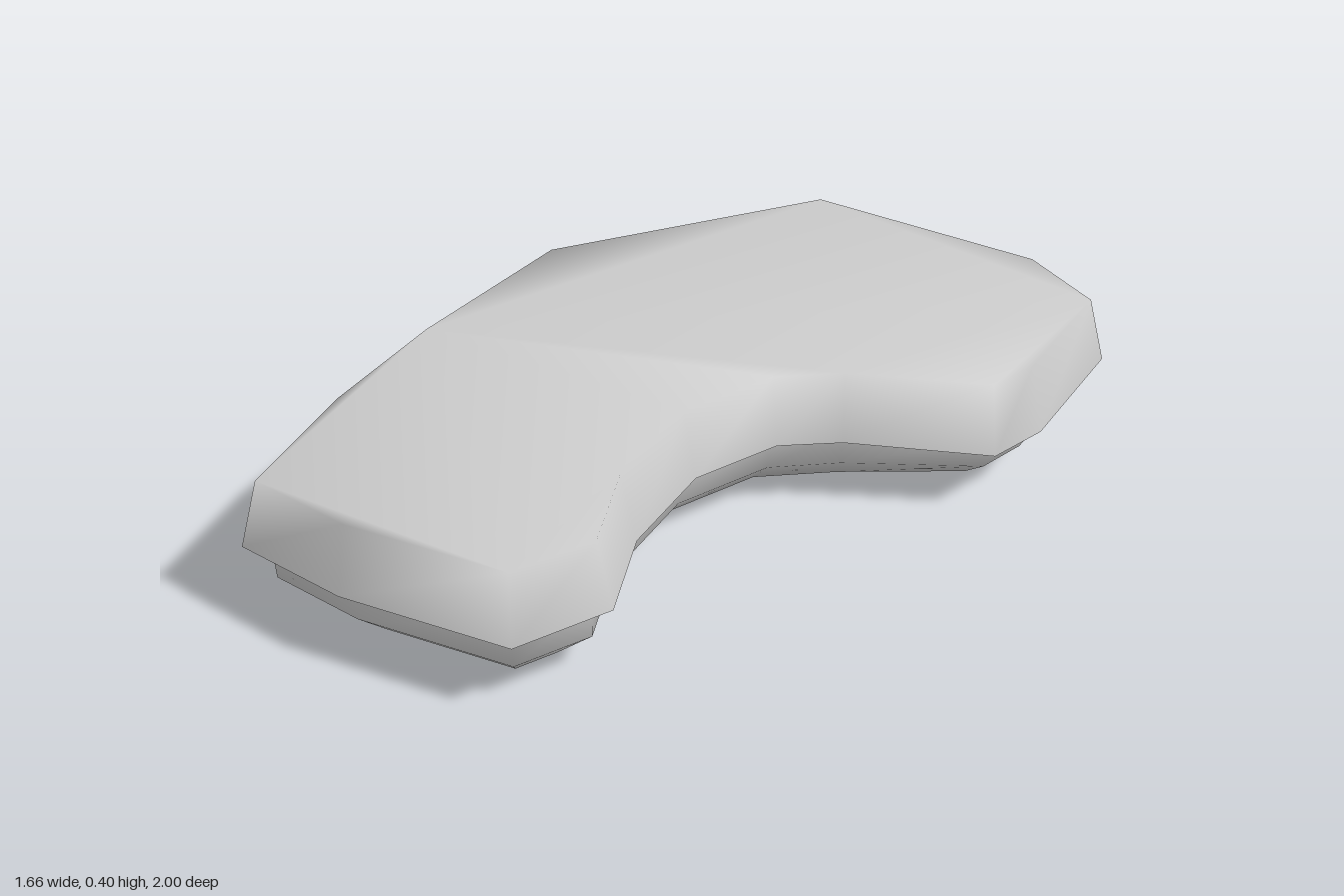
import * as THREE from 'three';

// Widest outline in plan, [x, z], clockwise seen from above
const outline = [
  [-0.09, -1], [0.59, -0.96], [0.83, -0.82], [0.79, -0.41], [0.72, -0.25], [0.35, -0.11],
  [0.2, -0.02], [0.07, 0.2], [0.05, 0.5], [0.12, 0.77], [-0.03, 1], [-0.5, 1],
  [-0.82, 0.93], [-0.83, 0.51], [-0.79, 0.12], [-0.68, -0.4],
].map(([x, z]) => new THREE.Vector2(x, z));

// Outline moved inwards by a distance, with mitred corners
function inset(distance) {
  const n = outline.length;
  return outline.map((p, i) => {
    const a = p.clone().sub(outline[(i + n - 1) % n]).normalize();
    const b = outline[(i + 1) % n].clone().sub(p).normalize();
    const na = new THREE.Vector2(-a.y, a.x), nb = new THREE.Vector2(-b.y, b.x);
    const scale = distance / (1 + na.dot(nb));
    return p.clone().add(na.add(nb).multiplyScalar(scale));
  });
}

// The right end dips or lifts a little
const slope = (x) => THREE.MathUtils.clamp((x - 0.3) / 0.45, 0, 1);

// Smooth closed wall through rings of [inset, height, end offset]; optional end faces
function loft(name, rings, closeBottom, closeTop) {
  const n = outline.length, positions = [], index = [];
  const plans = rings.map(([d]) => inset(d));
  rings.forEach(([, y, lift], r) => {
    for (const p of plans[r]) positions.push(p.x, y + lift * slope(p.x), p.y);
  });
  for (let r = 0; r < rings.length - 1; r++) {
    for (let i = 0; i < n; i++) {
      const a = r * n + i, b = r * n + (i + 1) % n;
      index.push(b, a, a + n, b, a + n, b + n);
    }
  }
  const face = (r, up) => {
    const plan = plans[r];
    for (const [i, j, k] of THREE.ShapeUtils.triangulateShape(plan, [])) {
      const e = plan[j].clone().sub(plan[i]), f = plan[k].clone().sub(plan[i]);
      const facesUp = e.y * f.x - e.x * f.y > 0;
      const tri = facesUp === up ? [i, j, k] : [i, k, j];
      index.push(...tri.map((v) => v + r * n));
    }
  };
  if (closeBottom) face(0, false);
  if (closeTop) face(rings.length - 1, true);
  const geometry = new THREE.BufferGeometry();
  geometry.setAttribute('position', new THREE.Float32BufferAttribute(positions, 3));
  geometry.setIndex(index);
  geometry.computeVertexNormals();
  const mesh = new THREE.Mesh(geometry, new THREE.MeshStandardMaterial({ color: 0xcccccc }));
  mesh.name = name;
  return mesh;
}

export function createModel() {
  const group = new THREE.Group();
  group.name = 'curvedSlab';
  // Bowl-shaped lower body
  group.add(loft('lowerBody', [[0.16, 0, 0.03], [0.06, 0.1, 0.01], [0.055, 0.21, -0.025]], true, false));
  // Overhanging upper slab with tapered sides
  group.add(loft('upperSlab', [[0, 0.21, -0.028], [0.04, 0.4, -0.027]], false, true));
  // Flat underside of the overhang
  group.add(loft('overhangUnderside', [[0.055, 0.21, -0.027], [0, 0.21, -0.028]], false, false));
  return group;
}
